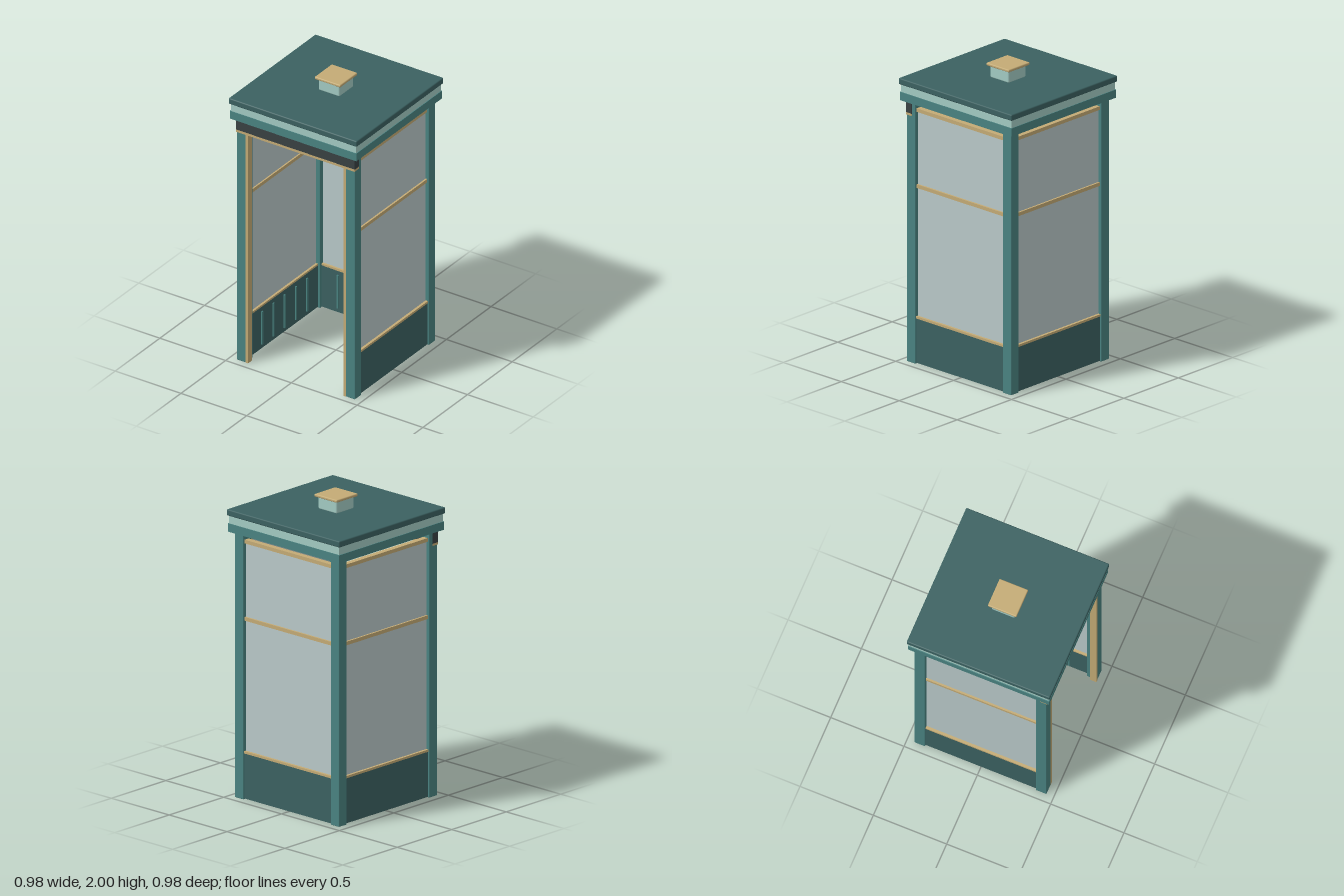
import * as THREE from 'three';
import { RoundedBoxGeometry } from 'three/addons/geometries/RoundedBoxGeometry.js';

const paint = (name, color) => new THREE.MeshStandardMaterial({ name, color });

export function createModel() {
  const teal = paint('teal', 0x4a8381);
  const darkTeal = paint('dark teal', 0x3b6161);
  const paleGreen = paint('pale green', 0xa3cbc3);
  const brass = paint('brass', 0xc4ab75);
  const glass = paint('frosted glass', 0xb9c9c9);
  const charcoal = paint('charcoal', 0x394142);

  const model = new THREE.Group();
  model.name = 'booth';

  // Box given by its extents; a radius rounds the edges
  function box(parent, name, material, [x0, x1], [y0, y1], [z0, z1], radius = 0) {
    const size = [x1 - x0, y1 - y0, z1 - z0];
    const geometry = radius
      ? new RoundedBoxGeometry(...size, 2, radius)
      : new THREE.BoxGeometry(...size);
    const mesh = new THREE.Mesh(geometry, material);
    mesh.name = name;
    mesh.position.set((x0 + x1) / 2, (y0 + y1) / 2, (z0 + z1) / 2);
    parent.add(mesh);
    return mesh;
  }
  const slab = (name, material, half, y, radius) =>
    box(model, name, material, [-half, half], y, [-half, half], radius);

  // Corner posts
  for (const sx of [-1, 1]) {
    for (const sz of [-1, 1]) {
      const post = box(model, 'cornerPost', teal, [-0.036, 0.036], [0, 1.755], [-0.036, 0.036], 0.004);
      post.position.x = sx * 0.414;
      post.position.z = sz * 0.414;
    }
  }

  // One glazed wall, modelled facing +z: ribbed kick panel, glass and rails
  function wall(name, angle) {
    const group = new THREE.Group();
    group.name = name;
    group.rotation.y = angle;
    const span = [-0.38, 0.38];
    box(group, 'kickPanel', darkTeal, span, [0.005, 0.305], [0.395, 0.44]);
    box(group, 'pane', glass, span, [0.3, 1.7], [0.41, 0.425]);
    box(group, 'sillRail', brass, span, [0.303, 0.318], [0.395, 0.442]);
    box(group, 'middleRail', brass, span, [1.179, 1.203], [0.4, 0.437]);
    box(group, 'topRail', brass, span, [1.69, 1.714], [0.4, 0.437]);
    for (let i = -2; i <= 2; i++) {
      const x = i * 0.126;
      box(group, 'panelRib', teal, [x - 0.006, x + 0.006], [0.035, 0.275], [0.386, 0.397]);
    }
    model.add(group);
  }
  wall('backWall', Math.PI);
  wall('leftWall', Math.PI / 2);
  wall('rightWall', -Math.PI / 2);

  // Open doorway: brass jambs, header board and its trim
  for (const s of [-1, 1]) {
    const jamb = box(model, 'doorJamb', brass, [-0.01, 0.01], [0, 1.665], [0.408, 0.451]);
    jamb.position.x = s * 0.373;
  }
  box(model, 'headerBoard', charcoal, [-0.451, 0.451], [1.672, 1.755], [0.408, 0.455]);
  box(model, 'headerTrim', brass, [-0.451, 0.451], [1.657, 1.673], [0.408, 0.456]);

  // Stepped roof
  slab('lowerCornice', teal, 0.481, [1.755, 1.81]);
  slab('upperCornice', paleGreen, 0.476, [1.81, 1.865]);
  slab('roof', darkTeal, 0.488, [1.862, 1.904], 0.008);

  // Roof vent
  slab('ventBody', paleGreen, 0.08, [1.9, 1.983], 0.01);
  slab('ventCap', brass, 0.098, [1.981, 2], 0.007);

  return model;
}
